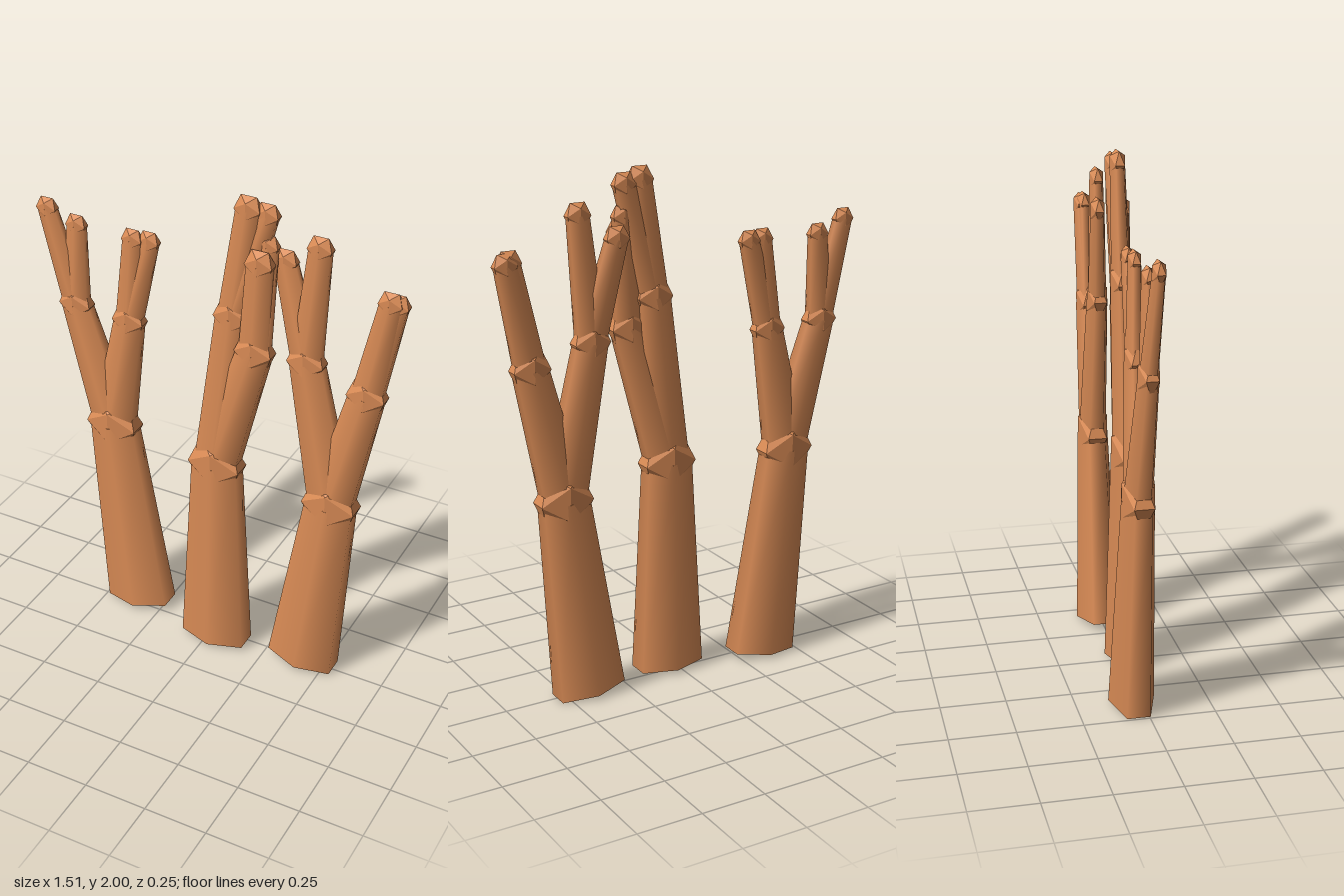
import * as THREE from 'three';

const FLAT = 0.57; // everything is squashed front to back
const KNOB = 1.15; // knob radius relative to the limb it caps

const bark = new THREE.MeshStandardMaterial({ color: 0xd98b55 });
const knobMaterial = new THREE.MeshStandardMaterial({ color: 0xd98b55, flatShading: true });

// Tapered six-sided limb between two points
function limb(name, from, to, r0, r1) {
  const a = new THREE.Vector3(...from);
  const dir = new THREE.Vector3(...to).sub(a);
  const length = dir.length();
  const geometry = new THREE.CylinderGeometry(r1, r0, length, 6);
  geometry.translate(0, length / 2, 0);
  geometry.scale(1, 1, FLAT);
  const mesh = new THREE.Mesh(geometry, bark);
  mesh.name = name;
  mesh.position.copy(a);
  mesh.quaternion.setFromUnitVectors(new THREE.Vector3(0, 1, 0), dir.normalize());
  return mesh;
}

// Faceted swelling at a joint or tip
function knob(name, at, r) {
  const geometry = new THREE.IcosahedronGeometry(r, 0);
  geometry.scale(1, 1, FLAT);
  const mesh = new THREE.Mesh(geometry, knobMaterial);
  mesh.name = name;
  mesh.position.set(...at);
  return mesh;
}

const LEVELS = ['trunk', 'branch', 'twig'];

// Adds a limb, its end knob, and everything growing from it
function grow(group, from, startRadius, node, level = 0) {
  const name = LEVELS[level];
  const endRadius = node.r / KNOB;
  group.add(limb(name, from, node.at, startRadius, endRadius));
  group.add(knob(name + 'Knob', node.at, node.r));
  for (const child of node.kids || []) grow(group, node.at, endRadius * 0.89, child, level + 1);
}

// Each node is the end of a limb: position, knob radius, further limbs
const TREES = [
  {
    name: 'rightTree', base: [-0.356, 0.02, -0.04],
    trunk: { at: [-0.458, 0.855, -0.04], r: 0.125, kids: [
      { at: [-0.608, 1.355, -0.04], r: 0.078, kids: [
        { at: [-0.714, 1.737, -0.033], r: 0.049 },
        { at: [-0.593, 1.69, -0.04], r: 0.049 },
      ] },
      { at: [-0.373, 1.345, -0.035], r: 0.077, kids: [
        { at: [-0.347, 1.693, -0.03], r: 0.049 },
        { at: [-0.283, 1.693, -0.04], r: 0.049 },
      ] },
    ] },
  },
  {
    name: 'middleTree', base: [0.034, 0.02, 0.03],
    trunk: { at: [0.034, 0.862, 0.03], r: 0.125, kids: [
      { at: [0.095, 1.515, 0.022], r: 0.084, kids: [
        { at: [0.15, 1.952, 0.02], r: 0.059 },
        { at: [0.22, 1.94, 0.012], r: 0.053 },
      ] },
      { at: [0.193, 1.405, 0.042], r: 0.086, kids: [
        { at: [0.211, 1.765, 0.05], r: 0.063 },
        { at: [0.225, 1.825, 0.015], r: 0.05 },
      ] },
    ] },
  },
  {
    name: 'leftTree', base: [0.405, 0.02, -0.008],
    trunk: { at: [0.495, 0.8, -0.008], r: 0.125, kids: [
      { at: [0.375, 1.385, -0.012], r: 0.084, kids: [
        { at: [0.415, 1.85, -0.005], r: 0.055 },
        { at: [0.273, 1.757, -0.03], r: 0.055 },
      ] },
      { at: [0.616, 1.315, -0.006], r: 0.086, kids: [
        { at: [0.685, 1.707, -0.002], r: 0.053 },
        { at: [0.705, 1.7, -0.012], r: 0.053 },
      ] },
    ] },
  },
];

export function createModel() {
  const model = new THREE.Group();
  model.name = 'branchingTrees';
  for (const { name, base, trunk } of TREES) {
    const tree = new THREE.Group();
    tree.name = name;
    grow(tree, base, 0.155, trunk);
    model.add(tree);
  }
  return model;
}
